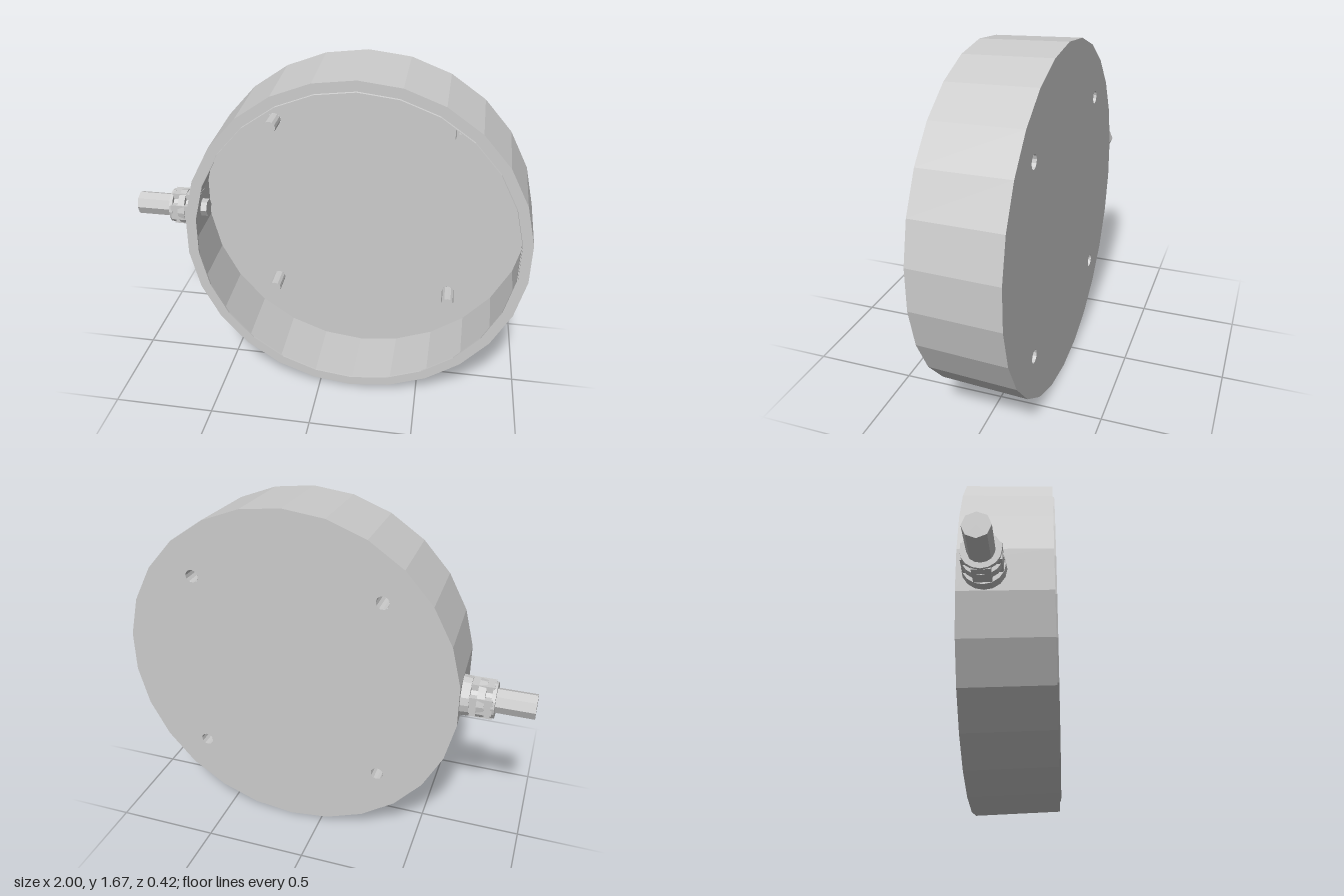
import * as THREE from 'three';

const SIDES = 26, HALF = Math.PI / SIDES, STEP = 2 * HALF;
const BACK = -0.215, FRONT = 0.2, BACK_R = 0.8375, FRONT_R = 0.822;
const CABLE_Z = -0.095, POST = 0.463, POST_R = 0.032, POST_LENGTH = 0.12;

const mat = new THREE.MeshStandardMaterial({ color: 0xcccccc, flatShading: true, side: THREE.DoubleSide });

function add(parent, name, geometry) {
  const mesh = new THREE.Mesh(geometry, mat);
  mesh.name = name;
  parent.add(mesh);
  return mesh;
}

const vectors = points => points.map(p => new THREE.Vector2(...p));

// Faceted ring around z from [radius, z] points, starting beside the facet at -x
function ring(points, count) {
  return new THREE.LatheGeometry(vectors(points), count, 1.5 * Math.PI + HALF, count * STEP).rotateX(Math.PI / 2);
}

function circlePoints(x, y, r, n) {
  const pts = [];
  for (let i = 0; i < n; i++) {
    const a = (i + 0.5) / n * 2 * Math.PI;
    pts.push(new THREE.Vector2(x + r * Math.cos(a), y + r * Math.sin(a)));
  }
  return pts;
}

// The wall facet at -x, pierced by the cable hole
function piercedFacet() {
  const s = Math.sin(HALF);
  const shape = new THREE.Shape(vectors([
    [BACK, -BACK_R * s], [FRONT, -FRONT_R * s], [FRONT, FRONT_R * s], [BACK, BACK_R * s]]));
  shape.holes.push(new THREE.Path(circlePoints(CABLE_Z, 0, 0.09, 12)));
  const g = new THREE.ShapeGeometry(shape), p = g.attributes.position;
  for (let i = 0; i < p.count; i++) {
    const z = p.getX(i), r = THREE.MathUtils.mapLinear(z, BACK, FRONT, BACK_R, FRONT_R);
    p.setXYZ(i, -r * Math.cos(HALF), p.getY(i), z);
  }
  g.computeVertexNormals();
  return g;
}

// Cylinder along x between two positions
function rod(x0, x1, r, sides) {
  return new THREE.CylinderGeometry(r, r, x1 - x0, sides).rotateZ(-Math.PI / 2).translate((x0 + x1) / 2, 0, 0);
}

export function createModel() {
  const model = new THREE.Group();
  model.name = 'roundHousing';

  // Thin shallow cup, open at the front, with an inward rim
  const cup = new THREE.Group();
  cup.name = 'cup';
  cup.position.set(0.165, 0.8375, 0);
  model.add(cup);
  add(cup, 'wall', ring([[BACK_R, BACK], [FRONT_R, FRONT]], SIDES - 1));
  add(cup, 'cableFacet', piercedFacet());
  add(cup, 'rim', ring([[FRONT_R, FRONT], [0.774, FRONT], [0.772, 0.208], [0.768, 0.208], [0.768, FRONT]], SIDES));

  // Floor with four screw holes, each ending in a hollow post
  const floor = new THREE.Shape(circlePoints(0, 0, BACK_R, SIDES));
  for (const x of [-POST, POST]) for (const y of [-POST, POST]) {
    floor.holes.push(new THREE.Path(circlePoints(x, y, POST_R, 12)));
    const post = new THREE.Group();
    post.name = 'post';
    post.position.set(x, y, BACK);
    cup.add(post);
    add(post, 'postWall', new THREE.CylinderGeometry(POST_R, POST_R, POST_LENGTH, 12, 1, true)
      .rotateX(Math.PI / 2).translate(0, 0, POST_LENGTH / 2));
    add(post, 'postTip', new THREE.CircleGeometry(POST_R, 12).translate(0, 0, POST_LENGTH));
  }
  // The polygon's half-step start puts its edges midway on both x sides, as on the wall
  add(cup, 'floor', new THREE.ShapeGeometry(floor).translate(0, 0, BACK));

  // Cable and its slotted strain relief
  const lead = new THREE.Group();
  lead.name = 'lead';
  lead.position.set(0, 0.8375, CABLE_Z);
  model.add(lead);
  add(lead, 'cable', rod(-1, -0.8, 0.06, 8));
  add(lead, 'reliefCore', rod(-0.81, -0.67, 0.068, 12));
  add(lead, 'cableEnd', rod(-0.67, -0.635, 0.045, 6));

  const radiusAt = x => 0.086 + (x + 0.82) * 0.07;
  for (const [x0, x1] of [[-0.82, -0.803], [-0.773, -0.738], [-0.705, -0.66]]) {
    const profile = [[0.06, x0], [radiusAt(x0), x0], [radiusAt(x1), x1], [0.06, x1]];
    add(lead, 'reliefRing', new THREE.LatheGeometry(vectors(profile), 16).rotateZ(-Math.PI / 2));
  }
  // Four wide ribs leave slots between the rings
  for (let i = 0; i < 4; i++) {
    const rib = add(lead, 'reliefRib', new THREE.BoxGeometry(0.14, 0.03, 0.08).translate(-0.74, 0.07, 0));
    rib.rotation.x = i * Math.PI / 2;
  }
  return model;
}
